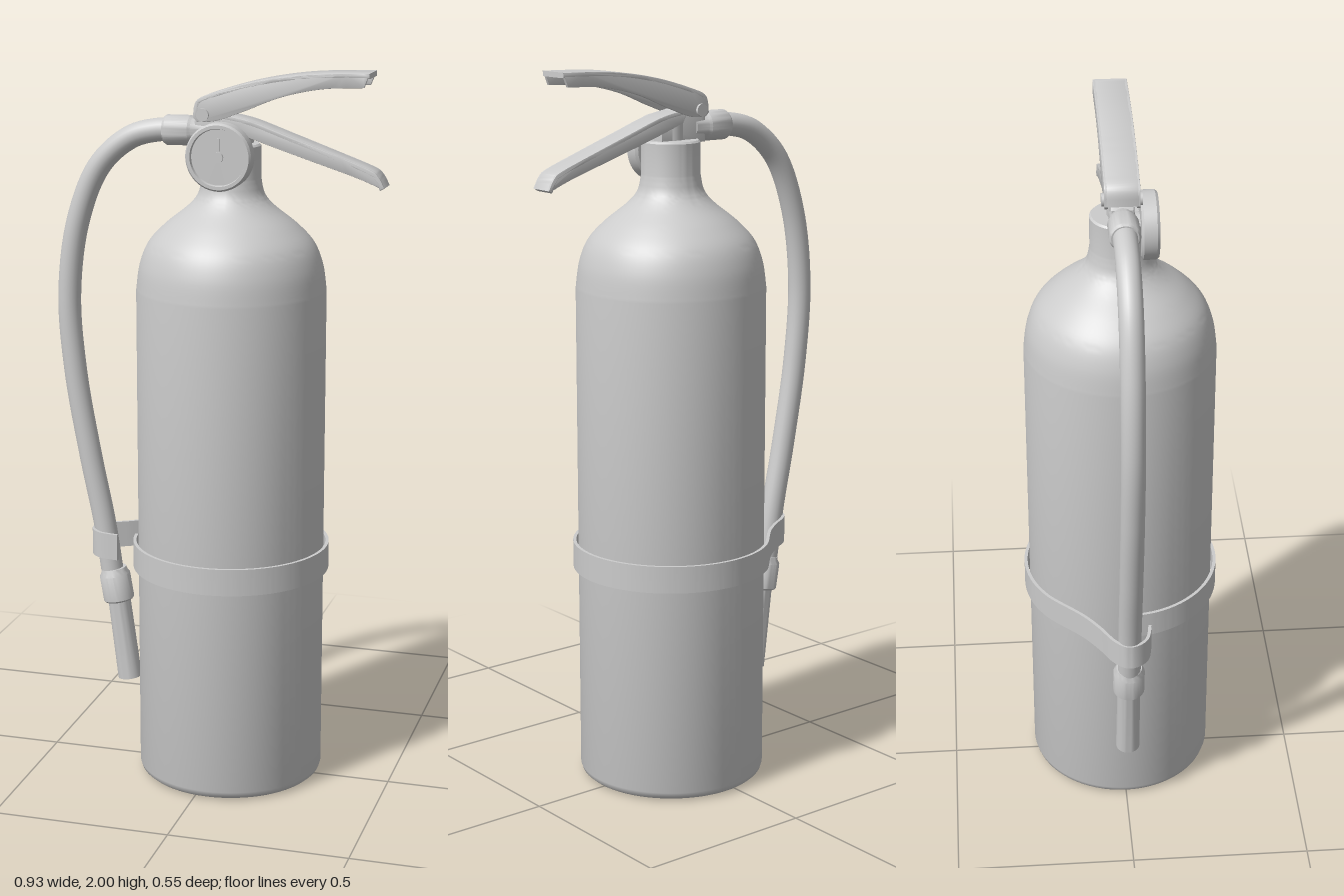
import * as THREE from 'three';
import { toCreasedNormals } from 'three/addons/utils/BufferGeometryUtils.js';

const CX = 0.035; // axis of the cylinder
const mat = new THREE.MeshStandardMaterial({ color: 0xcccccc, side: THREE.DoubleSide });
const v2 = (p) => new THREE.Vector2(p[0], p[1]);

function part(parent, name, geo, x = 0, y = 0, z = 0) {
  const m = new THREE.Mesh(geo, mat);
  m.name = name;
  m.position.set(x, y, z);
  parent.add(m);
  return m;
}

const extrude = (shape, depth, bevel = 0) => toCreasedNormals(
  new THREE.ExtrudeGeometry(shape, {
    depth: depth - 2 * bevel, bevelEnabled: bevel > 0, bevelSize: bevel * 0.6,
    bevelOffset: -bevel * 0.6, bevelThickness: bevel, bevelSegments: 3,
  }).translate(0, 0, bevel), 0.6);

// Band of even thickness along a 2D curve, extruded to a width
function ribbon(points, thickness, depth, samples, bevel = 0) {
  const curve = new THREE.SplineCurve(points.map(v2));
  const a = [], b = [];
  for (let i = 0; i <= samples; i++) {
    const p = curve.getPoint(i / samples), t = curve.getTangent(i / samples);
    a.push(p);
    b.push(new THREE.Vector2(p.x + t.y * thickness, p.y - t.x * thickness));
  }
  return extrude(new THREE.Shape([...a, ...b.reverse()]), depth, bevel);
}

// Lever pressed from sheet: a top plate with two side walls, open below
function lever(parent, name, top, bottom, width) {
  const g = new THREE.Group();
  g.name = name;
  const wall = 0.009;
  part(g, 'leverTop', ribbon(top, 0.014, width, 32, 0.005), 0, 0, -width / 2);
  const side = new THREE.Shape([
    ...new THREE.SplineCurve(top.map(v2)).getPoints(32),
    ...new THREE.SplineCurve(bottom.map(v2)).getPoints(32),
  ]);
  for (const z of [-width / 2, width / 2 - wall]) part(g, 'leverSide', extrude(side, wall, 0.002), 0, 0, z);
  parent.add(g);
}

// Turned part along the line from a to b; profile is [radius, fraction of length]
function turned(parent, name, a, b, profile) {
  const dir = new THREE.Vector3(b[0] - a[0], b[1] - a[1], 0), len = dir.length();
  const geo = new THREE.LatheGeometry(profile.map(([r, f]) => new THREE.Vector2(r, f * len)), 32);
  const m = part(parent, name, toCreasedNormals(geo, 0.6), a[0], a[1], 0);
  m.quaternion.setFromUnitVectors(new THREE.Vector3(0, 1, 0), dir.normalize());
  return m;
}

export function createModel() {
  const root = new THREE.Group();
  root.name = 'fireExtinguisher';

  // Cylinder with rounded foot, domed shoulder and neck
  const shoulder = new THREE.SplineCurve([
    [0.26, 1.4], [0.25, 1.47], [0.226, 1.53], [0.18, 1.58],
    [0.118, 1.63], [0.09, 1.665], [0.08, 1.71],
  ].map(v2)).getPoints(36);
  const profile = [[0, 0], [0.235, 0], [0.247, 0.004], [0.256, 0.012], [0.26, 0.025]].map(v2)
    .concat(shoulder, [[0.08, 1.795], [0.075, 1.8], [0, 1.8]].map(v2));
  part(root, 'cylinder', toCreasedNormals(new THREE.LatheGeometry(profile, 72), 0.6), CX);

  // Valve on top of the neck
  part(root, 'valveStem', new THREE.CylinderGeometry(0.035, 0.035, 0.08, 32), CX, 1.83, 0);
  const block = new THREE.Shape([[-0.06, 1.79], [0.09, 1.79], [0.09, 1.84], [0.03, 1.88], [-0.04, 1.885], [-0.06, 1.86]].map(v2));
  part(root, 'valveBlock', extrude(block, 0.06, 0.004), 0, 0, -0.03);

  // Carrying handle and squeeze lever
  lever(root, 'carryHandle',
    [[-0.06, 1.87], [-0.05, 1.915], [0, 1.938], [0.12, 1.972], [0.26, 1.994], [0.42, 2.0]],
    [[0.405, 1.962], [0.29, 1.955], [0.18, 1.93], [0.08, 1.89], [0, 1.862], [-0.05, 1.86]], 0.092);
  lever(root, 'squeezeLever',
    [[0.0, 1.882], [0.09, 1.866], [0.2, 1.828], [0.32, 1.785], [0.42, 1.748], [0.445, 1.73], [0.462, 1.7]],
    [[0.45, 1.7], [0.38, 1.727], [0.25, 1.768], [0.12, 1.81], [0.02, 1.845]], 0.07);
  part(root, 'hingePin', new THREE.CylinderGeometry(0.017, 0.017, 0.106, 20).rotateX(Math.PI / 2), -0.032, 1.878, 0);

  // Pressure gauge with raised rim, hub and needle
  const gauge = new THREE.Group();
  gauge.name = 'gauge';
  gauge.position.set(0.023, 1.772, 0.05);
  const dial = [[0, 0], [0.084, 0], [0.091, 0.006], [0.091, 0.04], [0.086, 0.047], [0.077, 0.047], [0.075, 0.038], [0, 0.038]];
  part(gauge, 'gaugeCase', toCreasedNormals(new THREE.LatheGeometry(dial.map(v2), 48).rotateX(Math.PI / 2), 0.5));
  part(gauge, 'gaugeHub', new THREE.CylinderGeometry(0.014, 0.014, 0.008, 20).rotateX(Math.PI / 2), 0, 0, 0.041);
  part(gauge, 'gaugeNeedle', new THREE.BoxGeometry(0.006, 0.034, 0.004), 0, 0.033, 0.04);
  part(gauge, 'gaugeStem', new THREE.CylinderGeometry(0.035, 0.035, 0.06, 24).rotateX(Math.PI / 2), 0, 0, -0.02);
  root.add(gauge);

  // Hose with its coupling, collar and nozzle
  const path = new THREE.CatmullRomCurve3([
    [-0.1, 1.83], [-0.17, 1.828], [-0.25, 1.805], [-0.34, 1.725], [-0.405, 1.57], [-0.434, 1.36],
    [-0.42, 1.14], [-0.38, 0.9], [-0.34, 0.7], [-0.315, 0.53],
  ].map(([x, y]) => new THREE.Vector3(x, y, 0)));
  part(root, 'hose', new THREE.TubeGeometry(path, 90, 0.032, 24));
  turned(root, 'hoseCoupling', [-0.152, 1.829], [-0.03, 1.83],
    [[0, 0], [0.036, 0], [0.041, 0.06], [0.041, 0.6], [0.036, 0.66], [0.034, 1], [0, 1]]);
  turned(root, 'nozzleCollar', [-0.315, 0.565], [-0.299, 0.47],
    [[0, 0], [0.036, 0], [0.038, 0.1], [0.044, 0.2], [0.044, 0.95], [0.04, 1], [0, 1]]);
  turned(root, 'nozzle', [-0.3, 0.48], [-0.269, 0.238],
    [[0, 0], [0.032, 0], [0.034, 1], [0.024, 1], [0.022, 0.5], [0, 0.5]]);

  // Strap round the cylinder, running out to a hook that holds the hose
  const strap = [];
  for (let i = 0; i <= 30; i++) {
    const a = THREE.MathUtils.degToRad(173 - i * 10.2);
    strap.push([CX + 0.266 * Math.cos(a), 0.266 * Math.sin(a)]);
  }
  strap.push([-0.22, -0.12], [-0.28, -0.075], [-0.34, -0.038], [-0.366, 0], [-0.34, 0.042], [-0.28, 0.056]);
  part(root, 'hoseStrap', ribbon(strap, -0.009, 0.075, 220).rotateX(Math.PI / 2), 0, 0.685, 0);

  return root;
}
